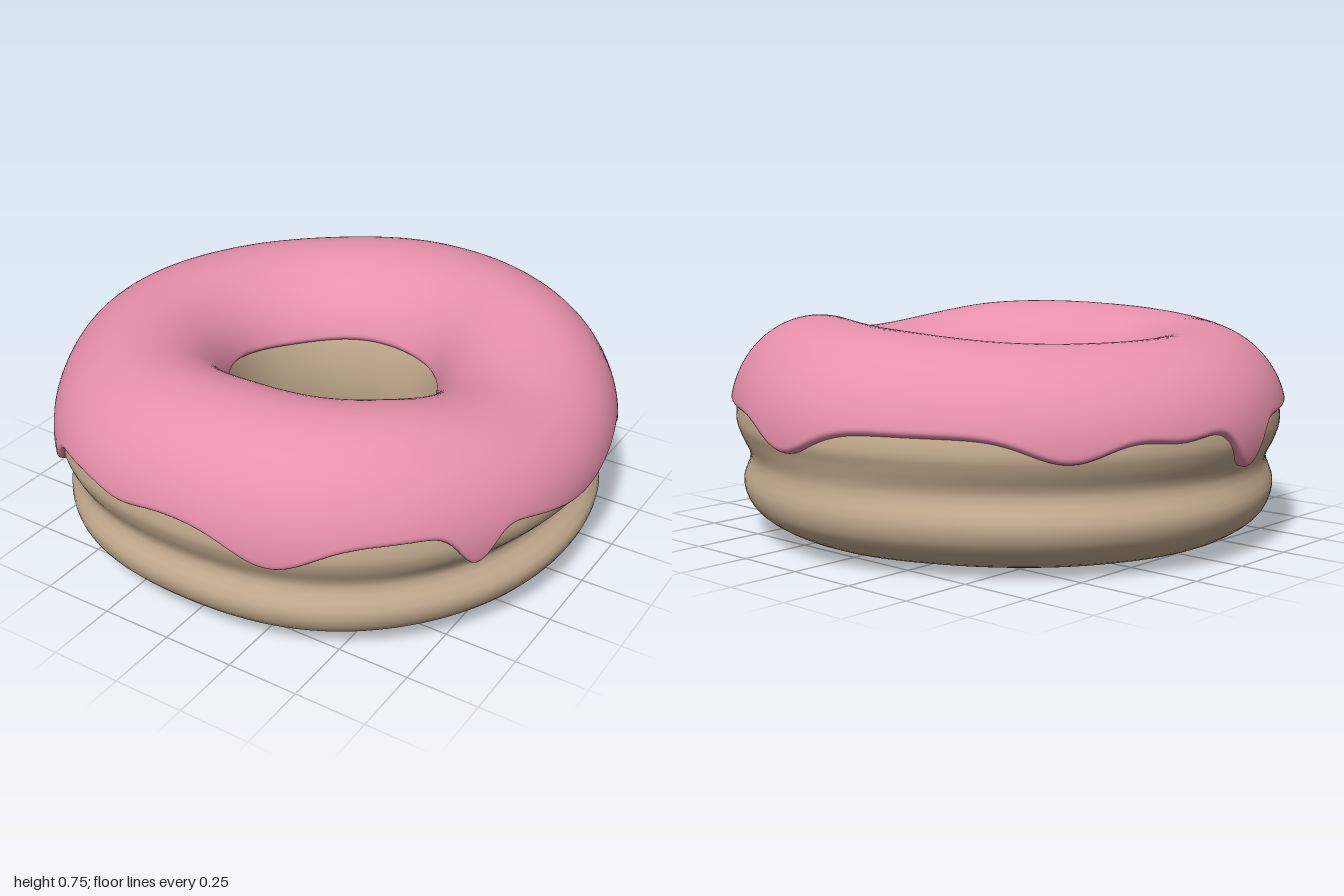
import * as THREE from 'three';

const MID = 0.4; // height of the widest ring
const ICING = 0.022; // icing thickness

// Smooth closed curve through evenly spaced values around the ring
function around(values) {
  const n = values.length;
  return (a) => {
    const f = (((a / (2 * Math.PI)) % 1) + 1) % 1 * n;
    const i = Math.floor(f), t = f - i;
    const [p, q, r, s] = [-1, 0, 1, 2].map((k) => values[(i + k + n) % n]);
    return q + 0.5 * t * (r - p + t * (2 * p - 5 * q + 4 * r - s + t * (3 * (q - r) + s - p)));
  };
}

// Angles run from +x (0 degrees) to +z (90 degrees)
const outer = around([0.995, 1, 1, 0.975, 1, 0.98, 1, 0.985, 0.965, 0.985, 0.98, 1]);
const hole = around([0.36, 0.37, 0.315, 0.35, 0.35, 0.31, 0.285, 0.345]);
const crest = around([0.67, 0.742, 0.745, 0.715, 0.705, 0.708, 0.74, 0.75]);

function bump(a, degrees, width) {
  let d = (a * 180) / Math.PI - degrees;
  d -= 360 * Math.round(d / 360);
  return Math.exp(-((d / width) ** 2));
}

// Drips of the icing: angle in degrees, length, width
const drips = [
  [31, 0.13, 4.5], [69, 0.1, 10], [102, 0.025, 7], [129, 0.11, 4], [177, 0.15, 5.5],
  [217, 0.08, 10], [275, 0.095, 10], [331, 0.14, 5], [3, 0.08, 17], [195, 0.03, 8],
];
const icingEdge = (a) => drips.reduce((y, [d, len, w]) => y - len * bump(a, d, w), 0.452);

// Centre and half-width of the dough's cross-section
function section(a) {
  const o = outer(a) - ICING, h = hole(a) + ICING;
  return { c: (o + h) / 2, w: (o - h) / 2, top: crest(a) - ICING - MID };
}

// Sweeps a cross-section point(a, v) -> [radius, height] round the y axis
function ring(point, segments, rows, closed) {
  const pos = [], index = [];
  const count = closed ? rows : rows + 1;
  for (let i = 0; i < segments; i++) {
    const a = (i / segments) * 2 * Math.PI;
    for (let j = 0; j < count; j++) {
      const [r, y] = point(a, j / rows);
      pos.push(r * Math.cos(a), y, r * Math.sin(a));
    }
    for (let j = 0; j < rows; j++) {
      const i2 = (i + 1) % segments, j2 = (j + 1) % count;
      const p = i * count + j, q = i * count + j2;
      const s = i2 * count + j, t = i2 * count + j2;
      index.push(p, q, s, q, t, s);
    }
  }
  const g = new THREE.BufferGeometry();
  g.setAttribute('position', new THREE.Float32BufferAttribute(pos, 3));
  g.setIndex(index);
  g.computeVertexNormals();
  return g;
}

// Dough: flat base, rounded belly, groove round the waist, domed top
function doughGeometry() {
  const rows = 72;
  let lastAngle = null, curve = null;
  return ring((a, v) => {
    const { c, w, top } = section(a);
    if (a !== lastAngle) {
      lastAngle = a;
      const groove = 0.84 - 0.12 * bump(a, 5, 28) + 0.05 * bump(a, 270, 30);
      const pts = [
        [0.1, 0], [0.5, 0.03], [0.84, 0.1], [0.93, 0.175], [groove, 0.27], [0.95, 0.345],
      ];
      for (let k = 0; k <= 8; k++) {
        const phi = (k / 8) * Math.PI;
        pts.push([Math.cos(phi), MID + top * Math.sin(phi)]);
      }
      pts.push([-0.99, 0.26], [-0.87, 0.12], [-0.55, 0.025], [-0.2, 0]);
      curve = new THREE.CatmullRomCurve3(
        pts.map(([k, y]) => new THREE.Vector3(c + w * k, y, 0)), true, 'centripetal');
    }
    const p = curve.getPoint(v);
    return [p.x, Math.max(0, p.y)];
  }, 128, rows, true);
}

// Icing: a shell over the dome with rounded lips and a dripping outer edge
function icingGeometry() {
  return ring((a, v) => {
    const { c, w, top } = section(a);
    const start = Math.asin((icingEdge(a) - MID) / (top + ICING));
    const end = Math.PI - Math.asin((0.47 + 0.015 * Math.sin(3 * a) - MID) / (top + ICING));
    const s = (1 - Math.cos(Math.PI * v)) / 2; // rows gather at both edges
    const phi = start + (end - start) * s;
    const lip = Math.min(1, Math.min(s, 1 - s) / 0.025);
    const d = -0.012 + (ICING + 0.012) * Math.sqrt(1 - (1 - lip) ** 2);
    return [c + (w + d) * Math.cos(phi), MID + (top + d) * Math.sin(phi)];
  }, 360, 56, false);
}

export function createModel() {
  const group = new THREE.Group();
  group.name = 'donut';
  const add = (name, geometry, color, side) => {
    const material = new THREE.MeshStandardMaterial({ color, side });
    const mesh = new THREE.Mesh(geometry, material);
    mesh.name = name;
    group.add(mesh);
  };
  add('dough', doughGeometry(), 0xc8ae92, THREE.FrontSide);
  add('icing', icingGeometry(), 0xe890ac, THREE.DoubleSide);
  return group;
}
